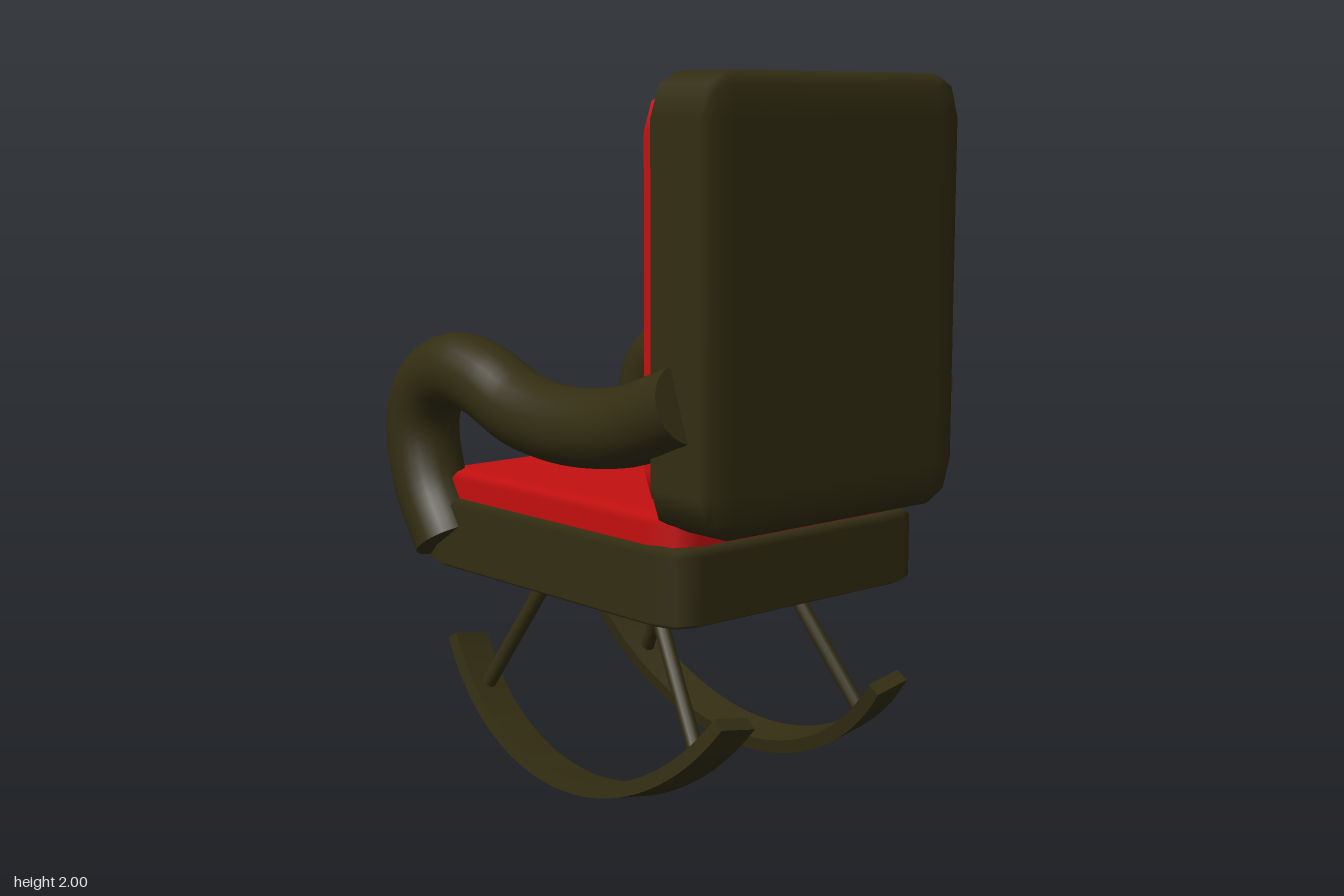
import * as THREE from 'three';
import { RoundedBoxGeometry } from 'three/addons/geometries/RoundedBoxGeometry.js';

const wood = new THREE.MeshStandardMaterial({ color: 0x332d12 });
const red = new THREE.MeshStandardMaterial({ color: 0xc41010 });

function part(name, geometry, material) {
  const mesh = new THREE.Mesh(geometry, material);
  mesh.name = name;
  return mesh;
}

// Bevelled unit cube stretched between two corners, so the bevel scales with each side
function pad(name, material, [x0, y0, z0], [x1, y1, z1]) {
  const g = new RoundedBoxGeometry(1, 1, 1, 1, 0.1);
  g.scale(x1 - x0, y1 - y0, z1 - z0);
  const mesh = part(name, g, material);
  mesh.position.set((x0 + x1) / 2, (y0 + y1) / 2, (z0 + z1) / 2);
  return mesh;
}

// Round bar between two points
function bar(name, a, b, radius) {
  const dir = b.clone().sub(a);
  const mesh = part(name, new THREE.CylinderGeometry(radius, radius, dir.length(), 12), wood);
  mesh.position.copy(a).add(b).multiplyScalar(0.5);
  mesh.quaternion.setFromUnitVectors(new THREE.Vector3(0, 1, 0), dir.normalize());
  return mesh;
}

// Thick curved armrest with flat ends
function armrest(x) {
  const group = new THREE.Group();
  group.name = x > 0 ? 'leftArmrest' : 'rightArmrest';
  const radius = 0.107;
  const curve = new THREE.CatmullRomCurve3([
    [0.59, 1.18], [0.35, 1.095], [0.1, 1.068], [-0.1, 1.09], [-0.26, 1.15], [-0.39, 1.172],
    [-0.5, 1.14], [-0.565, 1.065], [-0.583, 0.97], [-0.545, 0.82], [-0.448, 0.667],
  ].map(([z, y]) => new THREE.Vector3(x, y, z)));
  group.add(part('armTube', new THREE.TubeGeometry(curve, 40, radius, 24), wood));
  for (const t of [0, 1]) {
    const cap = part('armEnd', new THREE.CircleGeometry(radius, 24), wood);
    cap.position.copy(curve.getPointAt(t));
    cap.quaternion.setFromUnitVectors(
      new THREE.Vector3(0, 0, 1), curve.getTangentAt(t).multiplyScalar(t ? 1 : -1));
    group.add(cap);
  }
  return group;
}

// Curved runner, leaning outwards at the bottom
function rocker(side) {
  const R = 0.75, thick = 0.04, width = 0.12, half = 0.945;
  const down = -Math.PI / 2;
  const shape = new THREE.Shape();
  shape.absarc(0, R, R, down - half, down + half, false);
  shape.absarc(0, R, R - thick, down + half, down - half, true);
  shape.closePath();
  const g = new THREE.ExtrudeGeometry(shape, { depth: width, bevelEnabled: false, curveSegments: 20 });
  g.translate(0, 0, -width / 2);
  g.rotateY(-Math.PI / 2);
  const mesh = part(side > 0 ? 'leftRocker' : 'rightRocker', g, wood);
  mesh.rotation.z = side * 0.175;
  mesh.position.set(side * 0.348, 0.011, 0.02);
  return mesh;
}

export function createModel() {
  const model = new THREE.Group();
  model.name = 'rockingChair';

  // Upholstered body, the chair faces -z
  const body = new THREE.Group();
  body.name = 'body';
  body.position.x = -0.0075;
  body.add(
    pad('seatBase', wood, [-0.468, 0.58, -0.59], [0.468, 0.8, 0.58]),
    pad('seatCushion', red, [-0.433, 0.67, -0.55], [0.433, 0.87, 0.535]),
    pad('backrest', wood, [-0.468, 0.835, 0.46], [0.468, 2, 0.69]),
    pad('backCushion', red, [-0.433, 0.88, 0.397], [0.433, 1.957, 0.6]),
  );

  // Legs and runners on both sides
  for (const side of [1, -1]) {
    body.add(rocker(side));
    for (const [name, zTop, zLow] of [['backLeg', 0.22, 0.5], ['frontLeg', -0.2, -0.45]]) {
      body.add(bar(name,
        new THREE.Vector3(side * 0.24, 0.61, zTop),
        new THREE.Vector3(side * 0.315, 0.2, zLow), 0.022));
    }
    model.add(armrest(side * 0.442));
  }
  model.add(body);
  return model;
}
